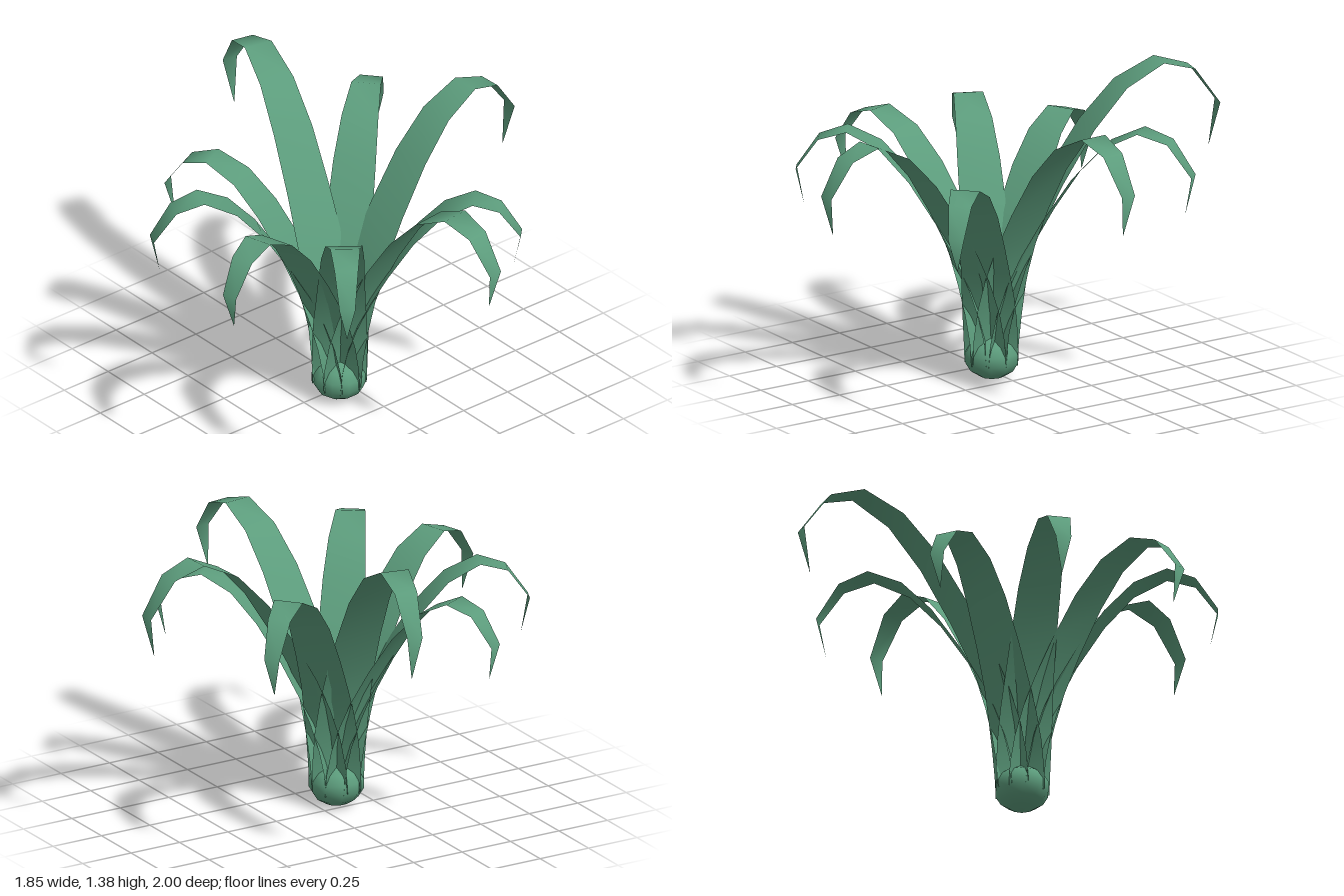
import * as THREE from 'three';

// Leaf stations: [radius / reach, height / peak, half width]
const PROFILE = [
  [0.02, 0.065, 0.12], [0.03, 0.16, 0.122], [0.06, 0.27, 0.122], [0.11, 0.385, 0.118],
  [0.175, 0.5, 0.11], [0.28, 0.645, 0.103], [0.42, 0.81, 0.095], [0.57, 0.935, 0.082],
  [0.74, 1, 0.066], [0.885, 0.965, 0.052], [1, 0.84, 0.035], [0.96, 0.695, 0.001],
];

// Each leaf: [x offset, z offset of its farthest point, peak height]
const LEAVES = [
  [1.01, -0.05, 1.3], [0.7, -0.6, 1.2], [0.23, -1.04, 1.38],
  [-0.37, -0.74, 1.08], [-0.78, -0.35, 1.12], [-0.83, 0.25, 1.12],
  [-0.52, 0.69, 1.14], [0.11, 0.95, 1.22], [0.57, 0.57, 1.05],
];

// Flat tapering ribbon swept along the arching profile, pointing along +x
function leafGeometry(reach, peak) {
  const positions = [];
  const index = [];
  PROFILE.forEach(([r, h, w], i) => {
    positions.push(r * reach, h * peak, -w, r * reach, h * peak, w);
    if (i > 0) {
      const a = 2 * (i - 1);
      index.push(a, a + 1, a + 2, a + 1, a + 3, a + 2);
    }
  });
  const geometry = new THREE.BufferGeometry();
  geometry.setAttribute('position', new THREE.Float32BufferAttribute(positions, 3));
  geometry.setIndex(index);
  geometry.computeVertexNormals();
  return geometry;
}

export function createModel() {
  const green = new THREE.MeshStandardMaterial({ color: 0x5c9c7c, side: THREE.DoubleSide });
  green.name = 'leaf green';

  const plant = new THREE.Group();
  plant.name = 'plant';
  plant.position.set(-0.09, 0, 0.05);

  // Squat bulb at the foot
  const bulb = new THREE.Mesh(new THREE.SphereGeometry(0.125, 10, 7), green);
  bulb.name = 'bulb';
  bulb.scale.y = 0.8;
  bulb.position.y = 0.1;
  plant.add(bulb);

  // Ring of arching leaves
  LEAVES.forEach(([x, z, peak], i) => {
    const leaf = new THREE.Mesh(leafGeometry(Math.hypot(x, z), peak), green);
    leaf.name = `leaf${i + 1}`;
    leaf.rotation.y = Math.atan2(-z, x);
    plant.add(leaf);
  });

  const model = new THREE.Group();
  model.name = 'model';
  model.add(plant);
  return model;
}
